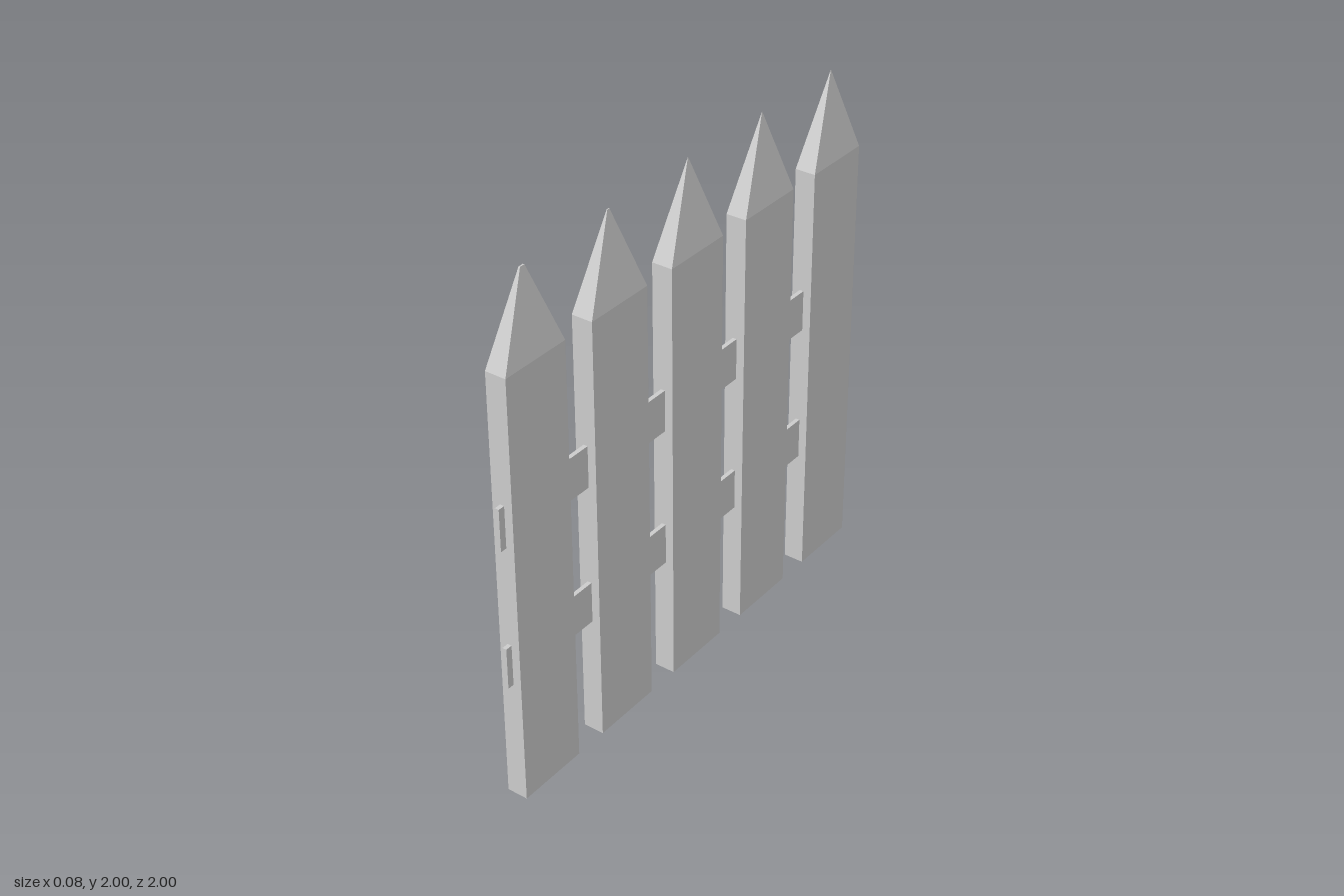
import * as THREE from 'three';

const material = new THREE.MeshStandardMaterial({ color: 0xcccccc, flatShading: true });

const THICK = 0.08, WIDTH = 0.284, SHOULDER = 1.665, APEX = 2;

// A board whose top tapers to a pyramid point, optionally cut off at height topY
function picketGeometry(topY) {
  const g = new THREE.BoxGeometry(THICK, 2, WIDTH, 1, 2, 1);
  const p = g.attributes.position;
  const taper = Math.max((APEX - topY) / (APEX - SHOULDER), 0.002);
  for (let i = 0; i < p.count; i++) {
    const level = Math.round(p.getY(i)); // -1 foot, 0 shoulder, 1 tip
    const s = level === 1 ? taper : 1;
    p.setXYZ(i, p.getX(i) * s, [0, SHOULDER, topY][level + 1], p.getZ(i) * s);
  }
  g.computeVertexNormals();
  return g;
}

export function createModel() {
  const group = new THREE.Group();
  group.name = 'picketFence';

  // Five pickets from back to front, the front ones slightly blunted
  [2, 2, 1.996, 1.988, 1.976].forEach((topY, i) => {
    const picket = new THREE.Mesh(picketGeometry(topY), material);
    picket.name = `picket${i + 1}`;
    picket.position.z = (i - 2) * 0.416;
    group.add(picket);
  });

  // Two thin rails running through the pickets
  for (const [name, y] of [['lowerRail', 0.56], ['upperRail', 1.11]]) {
    const rail = new THREE.Mesh(new THREE.BoxGeometry(0.016, 0.162, 2), material);
    rail.name = name;
    rail.position.y = y;
    group.add(rail);
  }
  return group;
}
